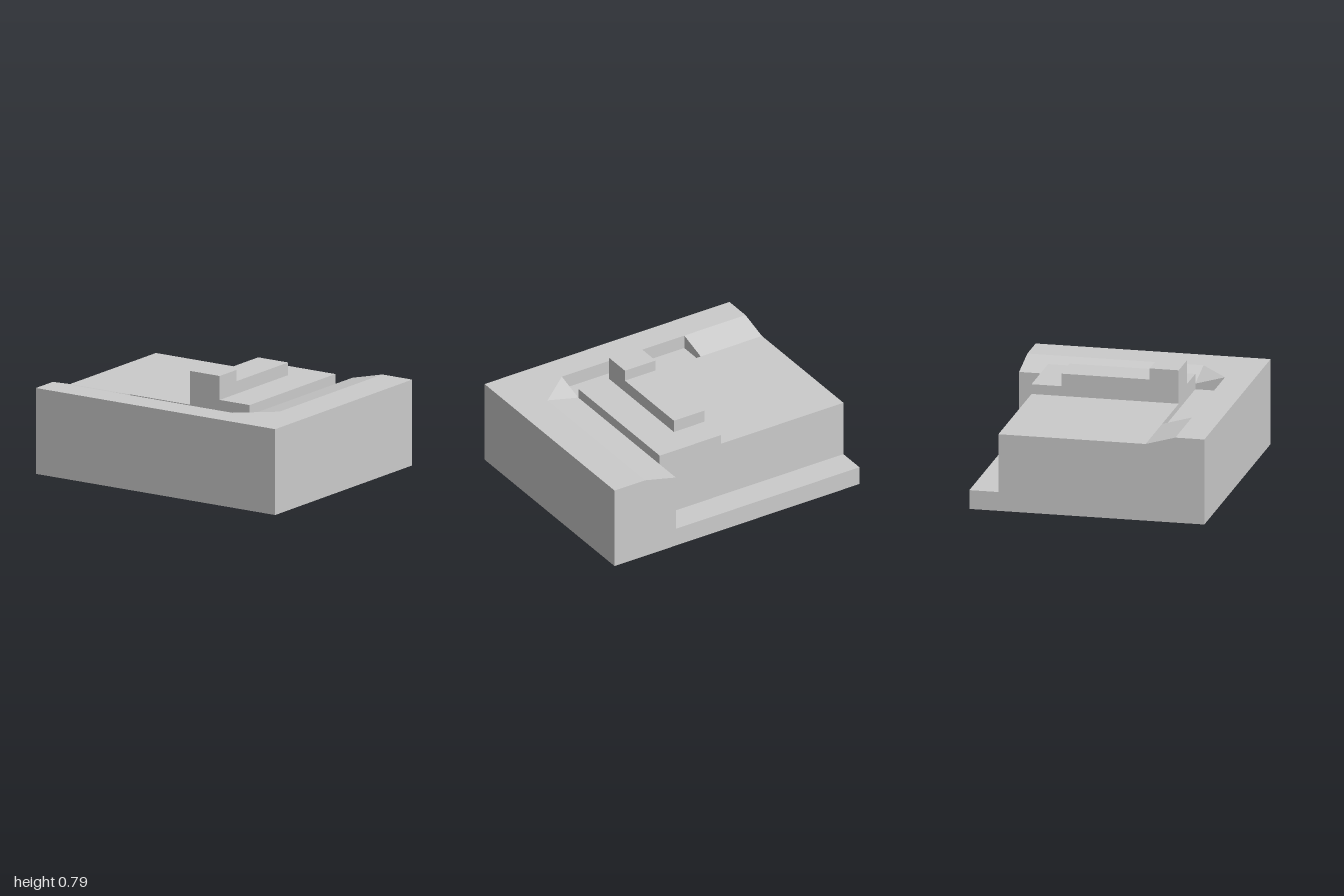
import * as THREE from 'three';
import { ConvexGeometry } from 'three/addons/geometries/ConvexGeometry.js';

// Main levels and grid lines
const RIM = 0.61, PLATEAU = 0.55, PIT = 0.51, SHELF = 0.135;
const Z = 0.83, ZB = -0.625, Z1 = 0.415, Z2 = 0.625;

export function createModel() {
  const group = new THREE.Group();
  const material = new THREE.MeshStandardMaterial({ color: 0xcccccc, flatShading: true });

  const add = (name, geometry) => {
    const mesh = new THREE.Mesh(geometry, material);
    mesh.name = name;
    group.add(mesh);
  };
  const extrude = (points, depth) => new THREE.ExtrudeGeometry(
    new THREE.Shape(points.map(([a, b]) => new THREE.Vector2(a, b))),
    { depth, bevelEnabled: false });
  // (z, y) profile swept from x0 to x1
  const alongX = (points, x0, x1) =>
    extrude(points, x1 - x0).rotateY(-Math.PI / 2).translate(x1, 0, 0);
  const block = (name, x0, x1, y0, y1, z0, z1) => add(name,
    new THREE.BoxGeometry(x1 - x0, y1 - y0, z1 - z0)
      .translate((x0 + x1) / 2, (y0 + y1) / 2, (z0 + z1) / 2));

  // Ground with a back shelf: a slope on one part, a sunken pit on the other
  const front = [[-Z, 0], [Z, 0], [Z, RIM], [Z2, RIM]];
  const back = [[Z1, PLATEAU], [ZB, PLATEAU], [ZB, SHELF], [-Z, SHELF]];
  add('slopedGround', alongX([...front, ...back], -1, -0.5));
  add('pitGround', alongX([...front, [Z2, PIT], [Z1, PIT], ...back], -0.5, 0.5));

  // Raised side bank, sloping down towards the middle
  add('sideBank', extrude(
    [[0.5, 0], [1, 0], [1, RIM], [0.75, RIM], [0.5, PLATEAU]], Z1 + Z).translate(0, 0, -Z));

  // Corner of the bank, with one bevelled inner corner
  add('bankCorner', new ConvexGeometry([
    [0.5, 0, Z1], [1, 0, Z1], [1, 0, Z], [0.5, 0, Z],
    [0.5, PLATEAU, Z1], [0.75, RIM, Z1], [1, RIM, Z1],
    [1, RIM, Z], [0.5, RIM, Z], [0.5, RIM, Z2],
  ].map((p) => new THREE.Vector3(...p))));

  // Stepped building on the plateau
  block('foundationSlab', 0, 0.5, PLATEAU, 0.62, ZB, Z1);
  block('longHall', 0, 0.25, 0.62, 0.71, -0.415, 0.21);
  block('tower', 0, 0.25, 0.62, 0.79, 0.21, Z1);

  return group;
}
